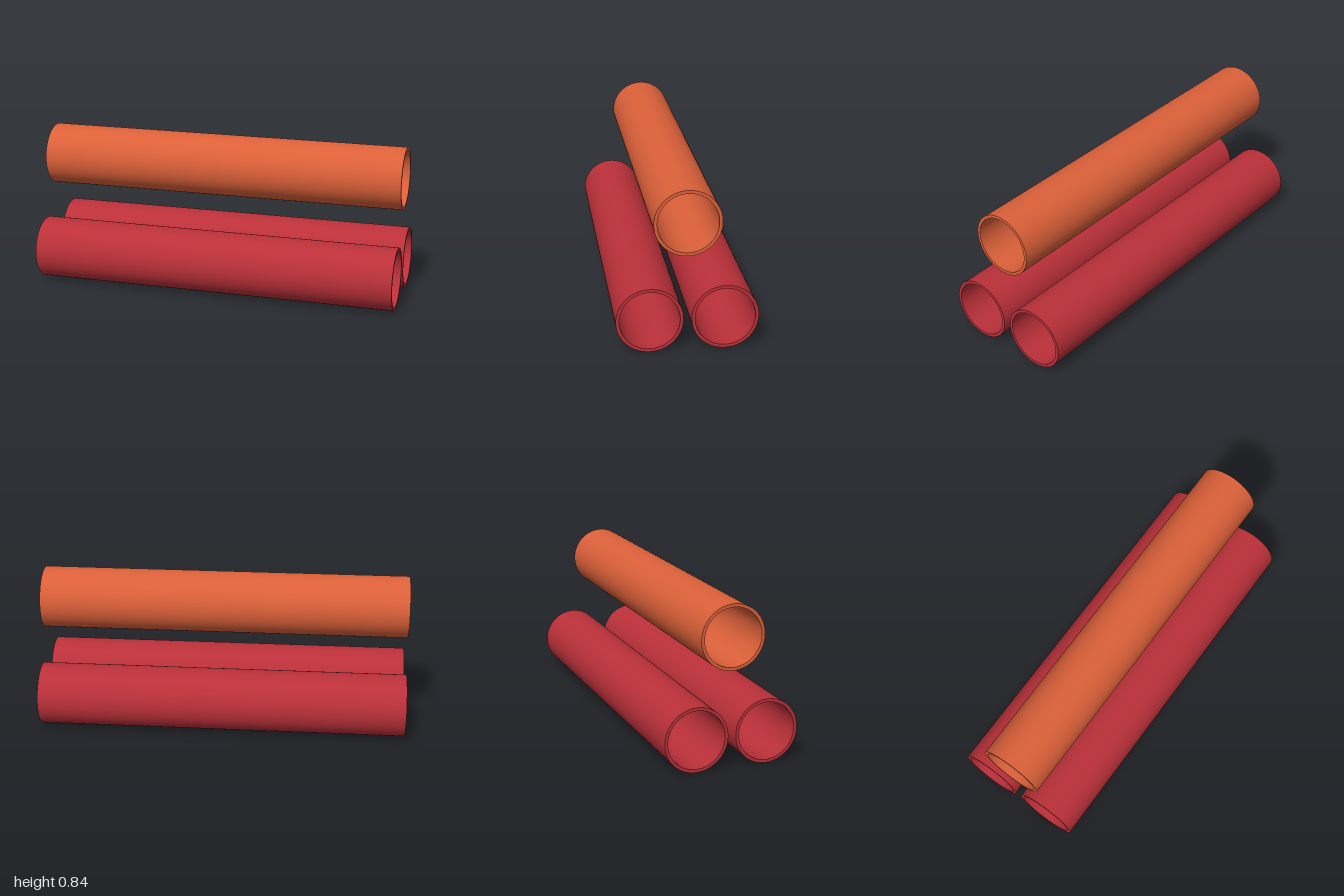
import * as THREE from 'three';
import { toCreasedNormals } from 'three/addons/utils/BufferGeometryUtils.js';

const LENGTH = 2;
const OUTER = 0.168;
const INNER = 0.151;

// Hollow tube lying along x, centred on its own axis
function tubeGeometry() {
  const ring = new THREE.Shape().absarc(0, 0, OUTER, 0, Math.PI * 2, false);
  ring.holes.push(new THREE.Path().absarc(0, 0, INNER, 0, Math.PI * 2, true));
  const geometry = new THREE.ExtrudeGeometry(ring, {
    depth: LENGTH, bevelEnabled: false, curveSegments: 40,
  });
  geometry.translate(0, 0, -LENGTH / 2);
  geometry.rotateY(Math.PI / 2);
  return toCreasedNormals(geometry, Math.PI / 6);
}

export function createModel() {
  const orange = new THREE.MeshStandardMaterial({ name: 'orange', color: 0xdb6039 });
  const red = new THREE.MeshStandardMaterial({ name: 'red', color: 0xba3039 });

  const model = new THREE.Group();
  model.name = 'tubeStack';
  const geometry = tubeGeometry();

  // Two tubes side by side below, one floating above the gap
  const tubes = [
    ['frontLowerTube', red, OUTER, 0.188],
    ['backLowerTube', red, OUTER, -0.188],
    ['upperTube', orange, 0.67, 0],
  ];
  for (const [name, material, y, z] of tubes) {
    const tube = new THREE.Mesh(geometry, material);
    tube.name = name;
    tube.position.set(0, y, z);
    model.add(tube);
  }
  return model;
}
